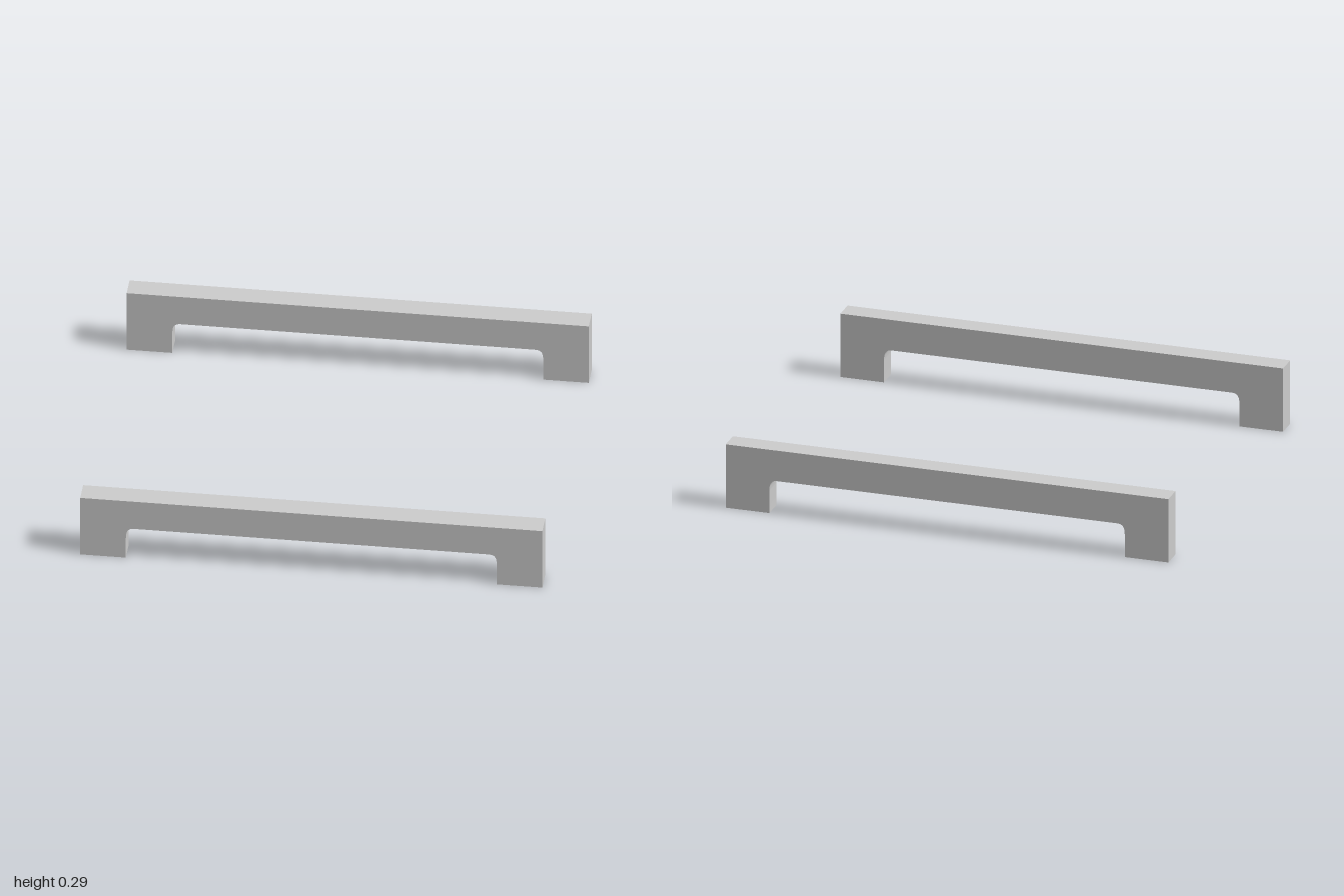
import * as THREE from 'three';
import { toCreasedNormals } from 'three/addons/utils/BufferGeometryUtils.js';

const HEIGHT = 0.293, DEPTH = 0.098, UNDERSIDE = 0.152, LEG_INNER = 0.803;

// Bridge outline: a straight bar on two legs with rounded inner corners
function handleProfile() {
  const s = new THREE.Shape();
  s.moveTo(-1, 0);
  s.lineTo(-LEG_INNER, 0);
  s.lineTo(-LEG_INNER, 0.1);
  s.bezierCurveTo(-LEG_INNER, 0.138, -0.795, UNDERSIDE, -0.765, UNDERSIDE);
  s.lineTo(0.765, UNDERSIDE);
  s.bezierCurveTo(0.795, UNDERSIDE, LEG_INNER, 0.138, LEG_INNER, 0.1);
  s.lineTo(LEG_INNER, 0);
  s.lineTo(1, 0);
  s.lineTo(1, HEIGHT);
  s.lineTo(-1, HEIGHT);
  s.closePath();
  return s;
}

export function createModel() {
  const group = new THREE.Group();
  group.name = 'handlePair';
  const material = new THREE.MeshStandardMaterial({ color: 0xcccccc });

  const extruded = new THREE.ExtrudeGeometry(handleProfile(), {
    depth: DEPTH, bevelEnabled: false, curveSegments: 10,
  });
  extruded.translate(0, 0, -DEPTH / 2);
  const geometry = toCreasedNormals(extruded, Math.PI / 6);

  // Two identical handles, front and back
  for (const [name, z] of [['frontHandle', 0.786], ['backHandle', -0.786]]) {
    const handle = new THREE.Mesh(geometry, material);
    handle.name = name;
    handle.position.z = z;
    group.add(handle);
  }
  return group;
}
